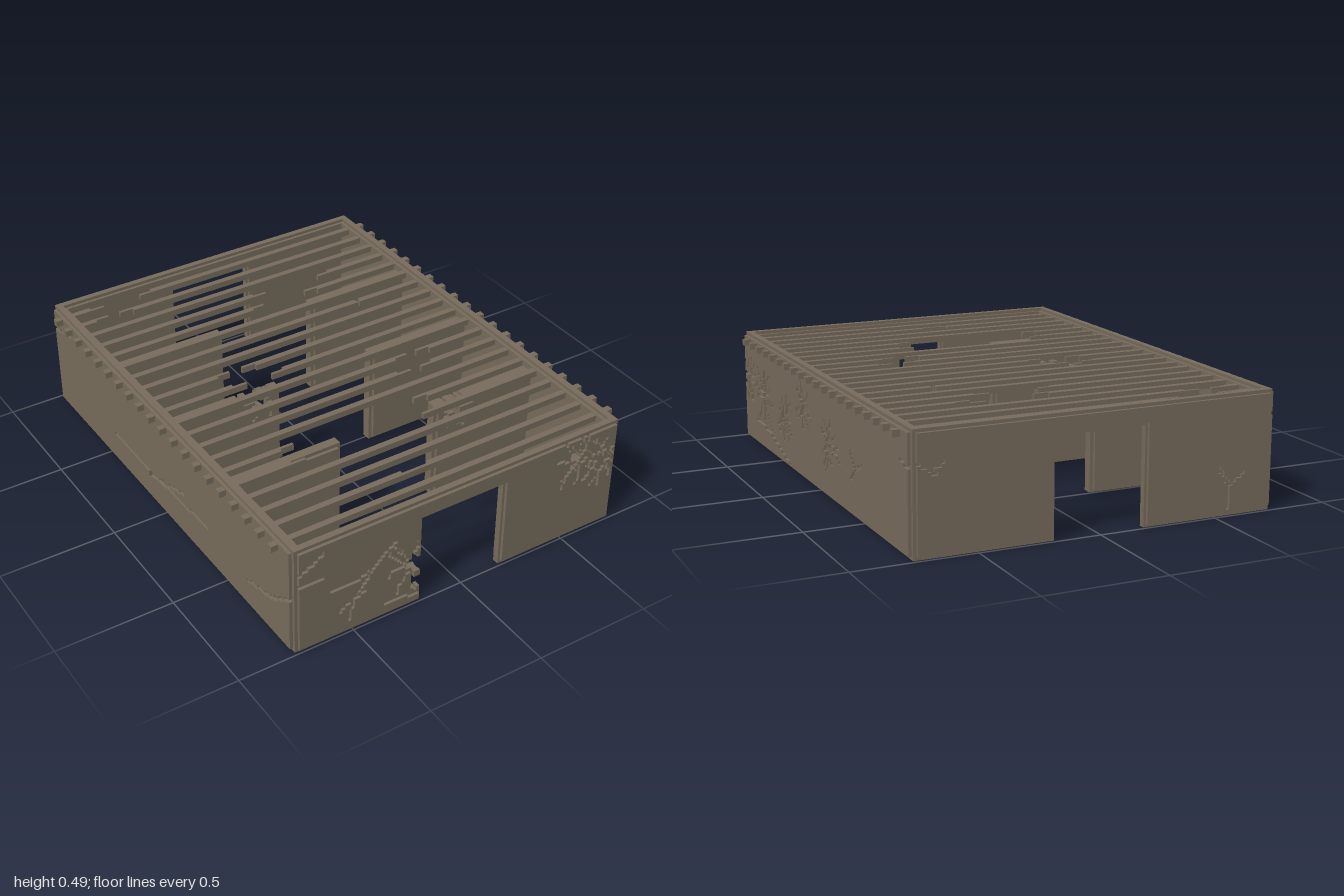
import * as THREE from 'three';
import { mergeGeometries } from 'three/addons/utils/BufferGeometryUtils.js';

const C = 0.0134;            // block size of the stonework
const H = 0.485, X = 0.765, Z = 1;
const stone = new THREE.MeshStandardMaterial({ color: 0x766b5b });
stone.name = 'weathered stone';

function rng(seed) {
  let s = seed;
  return () => (s = (s * 16807) % 2147483647) / 2147483647;
}
const key = (u, v) => Math.floor(u / C) + ',' + Math.floor(v / C);

// Damage on one wall: shallow pits, and holes that go right through
class Damage {
  constructor() { this.pits = new Set(); this.holes = new Set(); }
  crack(...pts) {
    for (let i = 0; i + 3 < pts.length; i += 2) {
      const [a, b, c, d] = pts.slice(i, i + 4);
      const n = Math.ceil(Math.hypot(c - a, d - b) / C * 1.5);
      for (let k = 0; k <= n; k++) this.pits.add(key(a + (c - a) * k / n, b + (d - b) * k / n));
    }
    return this;
  }
  burst(u, v, r, seed, hole = 0) {
    const rand = rng(seed * 7919 + 13);
    for (let a = 0; a < 11; a++) {
      const t = a / 11 * Math.PI * 2 + rand() * 0.4, len = r * (0.6 + 0.4 * rand());
      let p = u, q = v;
      for (let d = 0; d < len; d += C * 0.7) {
        const w = t + (rand() - 0.5) * 1.6;
        p += Math.cos(w) * C * 0.8;
        q += Math.sin(w) * C * 0.8;
        this.pits.add(key(p, q));
      }
    }
    if (hole) this.hole(u, v, hole, rand);
    return this;
  }
  hole(u, v, r, rand = rng(77)) {
    for (let p = u - r; p <= u + r; p += C) for (let q = v - r; q <= v + r; q += C)
      if (Math.hypot(p - u, q - v) < r * (0.6 + 0.5 * rand())) this.holes.add(key(p, q));
    return this;
  }
}

// Slab from w0 to w1 with missing blocks, merged into few large boxes
function slab(u0, u1, v0, v1, w0, w1, gone, sideways) {
  const nu = Math.max(1, Math.round((u1 - u0) / C)), nv = Math.max(1, Math.round((v1 - v0) / C));
  const du = (u1 - u0) / nu, dv = (v1 - v0) / nv, used = new Set(), out = [];
  const free = (i, j) => i < nu && j < nv && !used.has(i * 1000 + j)
    && !gone(u0 + (i + 0.5) * du, v0 + (j + 0.5) * dv);
  for (let i = 0; i < nu; i++) for (let j = 0; j < nv; j++) {
    if (!free(i, j)) continue;
    let b = j + 1, a = i + 1;
    while (free(i, b)) b++;
    const column = (k) => { for (let q = j; q < b; q++) if (!free(k, q)) return false; return true; };
    while (column(a)) a++;
    for (let p = i; p < a; p++) for (let q = j; q < b; q++) used.add(p * 1000 + q);
    const U = (a - i) * du, V = (b - j) * dv, W = w1 - w0;
    const u = u0 + (i + a) / 2 * du, v = v0 + (j + b) / 2 * dv, w = (w0 + w1) / 2;
    out.push(sideways ? new THREE.BoxGeometry(W, V, U).translate(w, v, u)
      : new THREE.BoxGeometry(U, V, W).translate(u, v, w));
  }
  return out;
}

function mesh(name, geos) {
  const m = new THREE.Mesh(mergeGeometries(geos), stone);
  m.name = name;
  return m;
}

// Outer wall: pitted skin, full-height core and inner skin
function outerWall(name, half, face, sign, dmg, sideways, door) {
  const geos = [];
  const layer = (h, lo, hi, d0, d1, pitted, dx, dy) => {
    const ws = [sign * (face - d0), sign * (face - d1)].sort((a, b) => a - b);
    const spans = door ? [[-h, -dx, lo, hi], [dx, h, lo, hi], [-dx, dx, dy, hi]] : [[-h, h, lo, hi]];
    for (const [a, b, c, d] of spans) {
      geos.push(...slab(a, b, c, d, ws[0], ws[1],
        (u, v) => dmg.holes.has(key(u, v)) || (pitted && dmg.pits.has(key(u, v))), sideways));
    }
  };
  layer(half - 2 * C, C, H - C, 0, C, true, 0.2, 0.41);
  layer(half - (sideways ? 3 * C : C), 0, H, C, 3 * C, false, 0.19, 0.4);
  layer(half - 3 * C, C, H - C, 3 * C, 4 * C, false, 0.2, 0.41);
  return mesh(name, geos);
}

export function createModel() {
  const model = new THREE.Group();
  model.name = 'ruinedHall';

  // Outer walls with their cracks and shell marks
  const front = new Damage()
    .crack(-0.32, 0.34, -0.38, 0.3, -0.5, 0.15, -0.52, 0.06).crack(-0.6, 0.24, -0.47, 0.24, -0.4, 0.28)
    .crack(-0.45, 0.17, -0.56, 0.12).crack(-0.74, 0.32, -0.63, 0.32).crack(-0.63, 0.43, -0.75, 0.36)
    .crack(-0.36, 0.06, -0.2, 0.05)
    .burst(-0.25, 0.2, 0.13, 3).hole(-0.2, 0.19, 0.055).hole(-0.2, 0.1, 0.045)
    .burst(0.55, 0.37, 0.13, 5, 0.035).burst(0.68, 0.32, 0.12, 6);
  const back = new Damage()
    .crack(-0.55, 0.03, -0.56, 0.12, -0.51, 0.2).crack(-0.56, 0.12, -0.62, 0.17)
    .crack(0.74, 0.36, 0.66, 0.31).crack(0.7, 0.34, 0.63, 0.35);
  const right = new Damage()
    .burst(0.92, 0.28, 0.12, 11).hole(0.88, 0.21, 0.03).burst(0.7, 0.25, 0.15, 12)
    .burst(0.42, 0.21, 0.11, 13, 0.02).burst(0.17, 0.31, 0.09, 14).burst(-0.15, 0.23, 0.13, 15)
    .crack(0.83, 0.12, 0.63, 0.1, 0.33, 0.01).crack(-0.39, 0.26, -0.45, 0.2, -0.4, 0.15)
    .crack(-0.45, 0.2, -0.51, 0.23).crack(-0.9, 0.36, -0.97, 0.34);
  const left = new Damage()
    .crack(-0.43, 0.14, -0.1, 0.14, 0.37, 0.17).crack(-0.13, 0.12, 0.18, 0.21)
    .crack(0.68, 0.13, 0.85, 0.17, 0.97, 0.25).crack(-0.97, 0.38, -0.82, 0.41);
  model.add(
    outerWall('frontWall', X, Z, 1, front, false, true),
    outerWall('backWall', X, Z, -1, back, false, true),
    outerWall('leftWall', Z, X, 1, right, true, false),
    outerWall('rightWall', Z, X, -1, left, true, false));

  // Partition walls in pairs, open in the middle
  [-0.47, 0, 0.46].forEach((z, n) => {
    for (const s of [-1, 1]) {
      const dmg = new Damage();
      if (n === 1 && s < 0) dmg.burst(-0.32, 0.4, 0.09, 21);
      if (n === 2 && s > 0) dmg.burst(0.33, 0.4, 0.09, 22);
      const gone = (u, v) => dmg.pits.has(key(u, v));
      const part = (end, lo, hi, w0, w1) => {
        const [a, b] = s < 0 ? [-0.71, -end] : [end, 0.71];
        return slab(a, b, lo, hi, z + w0, z + w1, gone, false);
      };
      model.add(mesh(s > 0 ? 'leftPartition' : 'rightPartition', [
        ...part(0.225, 0, 0.445, -0.02, 0.02),
        ...part(0.24, C, 0.43, -0.034, -0.02),
        ...part(0.24, C, 0.43, 0.02, 0.034)]));
    }
  });

  // Roof beams; broken ones end in half-width splinters (index: gap start, gap end)
  const gaps = {
    0: [-0.565, -0.39], 1: [-0.585, -0.53], 3: [0.09, 0.36], 4: [0.03, 0.24],
    6: [0.39, 0.4], 8: [-0.36, -0.3], 9: [-0.34, -0.22], 11: [0.33, 0.38],
    12: [0.28, 0.33], 14: [-0.4, 0.17], 15: [-0.41, 0.14], 18: [-0.09, -0.09],
  };
  for (let i = 0; i < 20; i++) {
    const z = -0.895 + i * 0.0939, geos = [];
    const bar = (a, b, z0, z1) => geos.push(
      new THREE.BoxGeometry(b - a, 2 * C, z1 - z0).translate((a + b) / 2, 0.455, (z0 + z1) / 2));
    if (gaps[i]) {
      const [a, b] = gaps[i], tip = i === 6 ? 0.005 : 0.06;
      const [lo, hi] = i % 3 === 0 ? [z, z + C] : [z - C, z];
      bar(-0.795, a - tip, z - C, z + C);
      bar(a - tip, a, lo, hi);
      bar(b, b + tip, lo, hi);
      bar(b + tip, 0.795, z - C, z + C);
    } else bar(-0.795, 0.795, z - C, z + C);
    model.add(mesh('roofBeam', geos));
  }
  return model;
}
